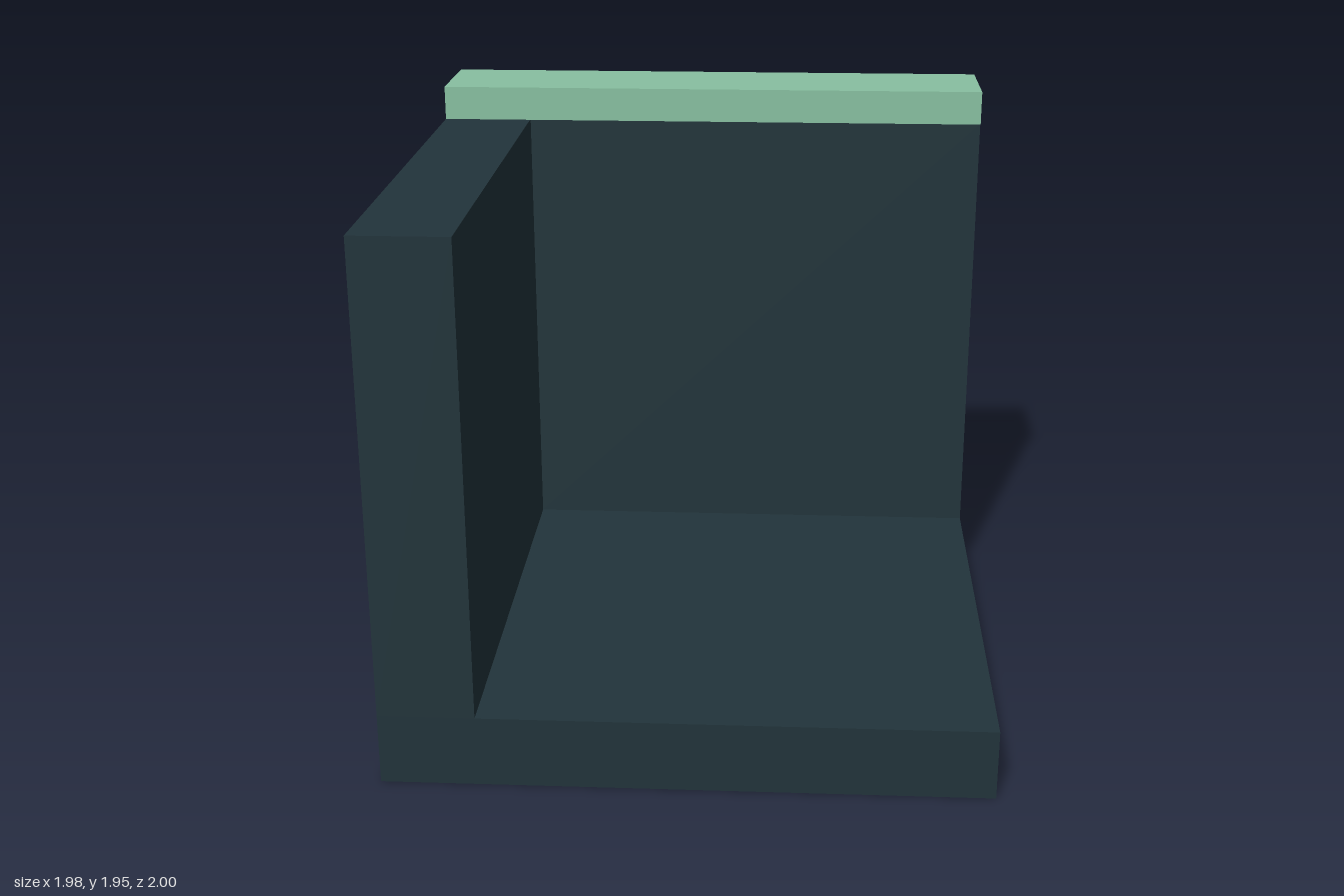
import * as THREE from 'three';

export function createModel() {
  const model = new THREE.Group();
  model.name = 'cornerBlock';

  const slate = new THREE.MeshStandardMaterial({ color: 0x22343b });
  slate.name = 'dark slate';
  const mint = new THREE.MeshStandardMaterial({ color: 0x88c0a1 });
  mint.name = 'mint green';

  // Box given by its lower and upper corners
  const addBox = (name, [x0, y0, z0], [x1, y1, z1], material) => {
    const mesh = new THREE.Mesh(new THREE.BoxGeometry(x1 - x0, y1 - y0, z1 - z0), material);
    mesh.position.set((x0 + x1) / 2, (y0 + y1) / 2, (z0 + z1) / 2);
    mesh.name = name;
    model.add(mesh);
  };

  const side = 0.99, front = 1, back = -0.98; // outer faces
  const innerX = -0.675, innerZ = -0.66; // inner wall faces
  const floorTop = 0.24, wallTop = 1.825;

  // Floor slab and the two walls standing on it
  addBox('floor', [-side, 0, back], [side, floorTop, front], slate);
  addBox('sideWall', [-side, floorTop, back], [innerX, wallTop, front], slate);
  addBox('backWall', [innerX, floorTop, back], [side, wallTop, innerZ], slate);

  // Coping on the back wall, slightly overhanging both faces
  addBox('coping', [-side, wallTop, -1], [side, 1.945, -0.645], mint);

  return model;
}
